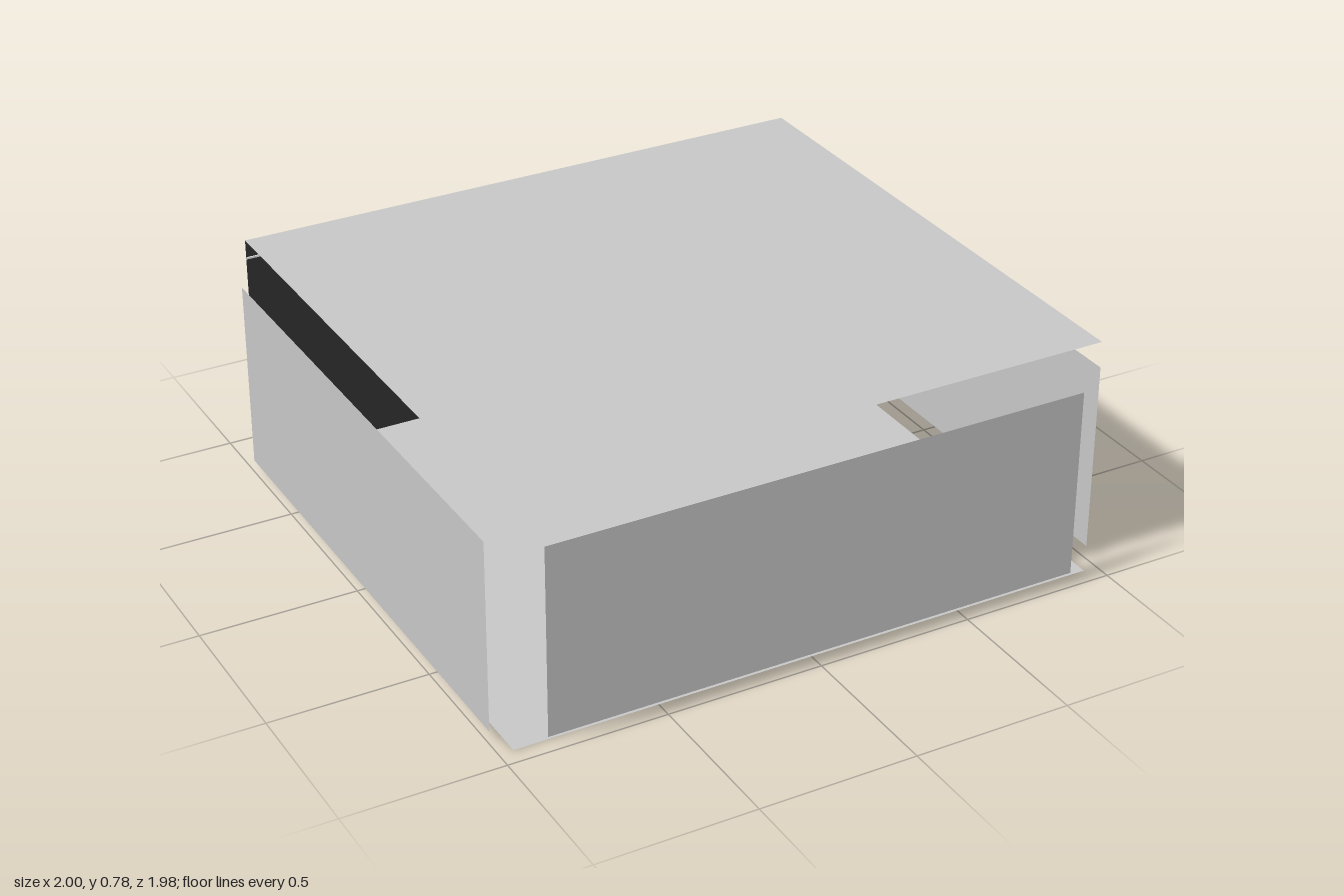
import * as THREE from 'three';

export function createModel() {
  const model = new THREE.Group();
  const lightGrey = new THREE.MeshStandardMaterial({ color: 0xc6c6c6, side: THREE.DoubleSide });
  lightGrey.name = 'light grey';
  const charcoal = new THREE.MeshStandardMaterial({ color: 0x343434, side: THREE.DoubleSide });
  charcoal.name = 'charcoal';
  const paleGrey = new THREE.MeshStandardMaterial({ color: 0xe8e8e8 });
  paleGrey.name = 'pale grey';

  const add = (name, geometry, material, x, y, z) => {
    const mesh = new THREE.Mesh(geometry, material);
    mesh.name = name;
    mesh.position.set(x, y, z);
    model.add(mesh);
    return mesh;
  };
  const box = (name, material, w, h, d, x, y, z) =>
    add(name, new THREE.BoxGeometry(w, h, d), material, x, y, z);

  const W = 1.91, D = 1.8, H = 0.777;   // room width, depth and height
  const backZ = -0.855, midZ = 0.045;

  // Floor and roof sheets
  for (const [name, y] of [['floor', 0], ['roof', H]]) {
    add(name, new THREE.PlaneGeometry(W, D), lightGrey, 0, y, midZ).rotation.x = -Math.PI / 2;
  }

  // Floating front and side panels, set just outside the floor
  const panelH = 0.612, panelY = 0.349;
  add('frontPanel', new THREE.PlaneGeometry(1.74, panelH), lightGrey, 0, panelY, 0.99);
  for (const side of [-1, 1]) {
    add(side > 0 ? 'leftPanel' : 'rightPanel', new THREE.PlaneGeometry(1.68, panelH),
      lightGrey, side, panelY, 0.05).rotation.y = side * Math.PI / 2;
  }

  // Back wall with a thin pale strip along its inside
  add('backWall', new THREE.PlaneGeometry(W, H), charcoal, 0, H / 2, backZ);
  box('wallStrip', paleGrey, W, 0.006, 0.004, 0, 0.717, backZ + 0.003);

  // Closed cabin behind the wall
  box('cabin', charcoal, 0.325, 0.545, 0.132, -0.0025, 0.2725, -0.924);

  // Double door on the inner face of the wall
  box('doorFrame', lightGrey, 0.35, 0.55, 0.005, -0.01, 0.275, backZ + 0.0035);
  box('doorSeam', charcoal, 0.004, 0.52, 0.001, -0.01, 0.26, backZ + 0.0065);
  box('doorSill', charcoal, 0.26, 0.004, 0.001, -0.01, 0.004, backZ + 0.0065);
  box('doorButton', charcoal, 0.012, 0.012, 0.006, 0.15, 0.285, backZ + 0.009);

  return model;
}
